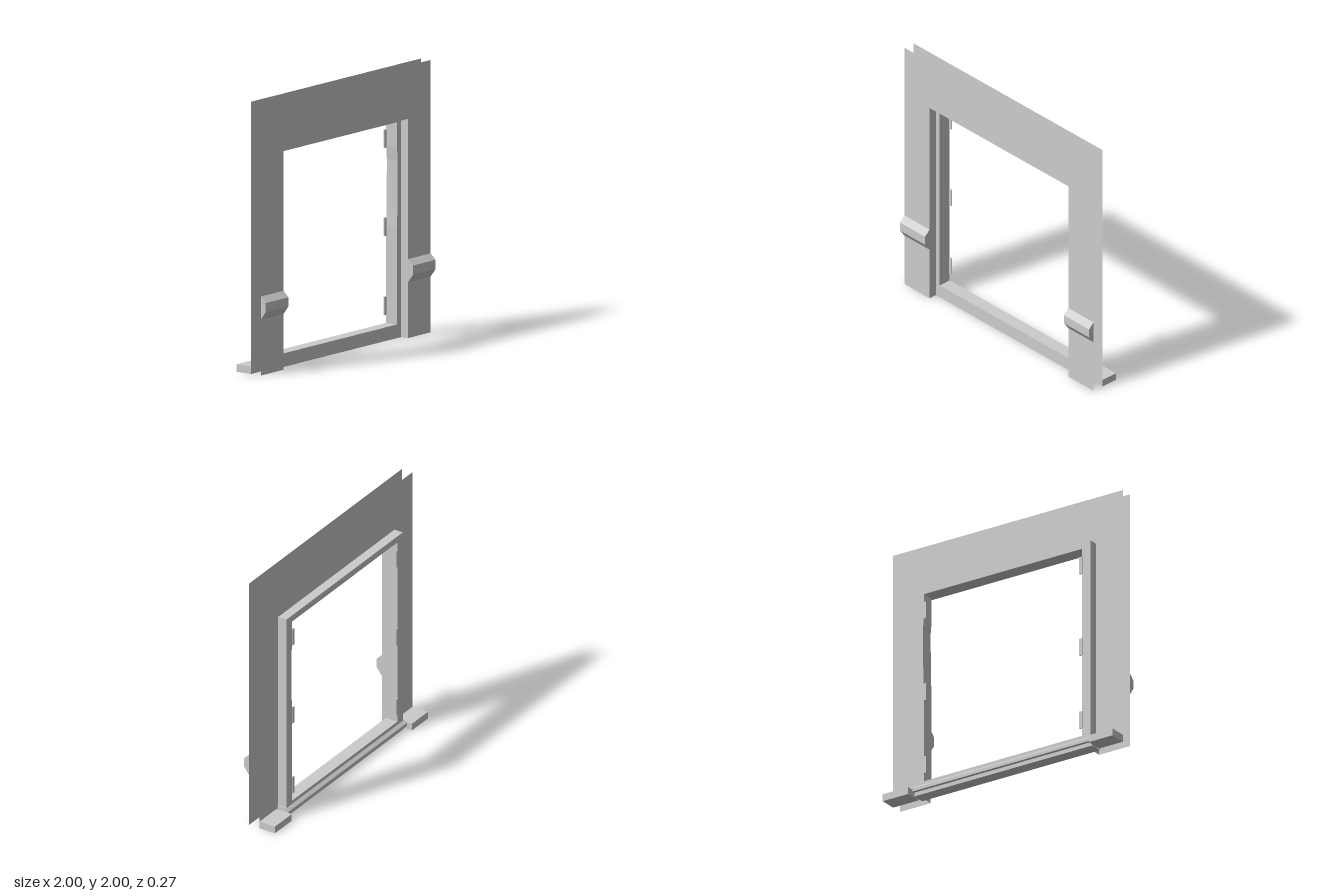
import * as THREE from 'three';

const plaster = new THREE.MeshStandardMaterial({ color: 0xcccccc, side: THREE.DoubleSide });
plaster.name = 'plain grey';

// Shape from a list of [x, y] corners
const poly = (pts) => new THREE.Shape(pts.map(([x, y]) => new THREE.Vector2(x, y)));

// Extrudes a [z, y] profile sideways from x0 to x1
function alongX(profile, x0, x1) {
  const g = new THREE.ExtrudeGeometry(poly(profile), { depth: x1 - x0, bevelEnabled: false });
  return g.rotateY(-Math.PI / 2).translate(x1, 0, 0);
}

export function createModel() {
  const group = new THREE.Group();
  const add = (name, geometry, x = 0, y = 0, z = 0) => {
    const mesh = new THREE.Mesh(geometry, plaster);
    mesh.name = name;
    mesh.position.set(x, y, z);
    group.add(mesh);
    return mesh;
  };

  const frontZ = 0.089, frameFront = 0.027, frameBack = -0.072;
  const openX = 0.733, openTop = 1.61;

  // Two wall skins, each an arch around the opening
  const skin = (half, top) => new THREE.ShapeGeometry(poly([
    [-1, 0], [-half, 0], [-half, top], [half, top], [half, 0], [1, 0], [1, 2], [-1, 2],
  ]));
  add('frontWall', skin(openX, openTop), 0, 0, frontZ);
  add('backWall', skin(0.75, 1.625).rotateY(Math.PI));

  // Reveal lining between the front wall and the frame
  const depth = frontZ - frameFront, midZ = (frontZ + frameFront) / 2;
  for (const s of [-1, 1]) {
    add('sideReveal', new THREE.PlaneGeometry(depth, openTop).rotateY(-s * Math.PI / 2),
      s * openX, openTop / 2, midZ);
  }
  add('topReveal', new THREE.PlaneGeometry(2 * openX, depth).rotateX(Math.PI / 2), 0, openTop, midZ);

  // Window frame, with a shallow worn hollow in one jamb
  const frame = poly([[-0.765, 0], [0.757, 0], [0.757, 1.635], [-0.765, 1.635]]);
  frame.holes.push(poly([
    [-0.694, 0.1], [-0.694, 1.585], [0.683, 1.585], [0.683, 1.4],
    [0.692, 1.3], [0.688, 0.95], [0.683, 0.8], [0.683, 0.1],
  ]));
  add('frame', new THREE.ExtrudeGeometry(frame, { depth: frameFront - frameBack, bevelEnabled: false }),
    0, 0, frameBack);

  // Sill with a sloping drip edge at the back
  add('sill', alongX([
    [0.025, 0], [0.025, 0.075], [-0.071, 0.075], [-0.096, 0.055],
    [-0.096, 0.03], [-0.071, 0.03], [-0.071, 0],
  ], -0.78, 0.767));

  // Sill blocks beside the frame
  for (const [x0, x1] of [[-1, -0.793], [0.78, 1]]) {
    add('sillBlock', new THREE.BoxGeometry(x1 - x0, 0.055, 0.133), (x0 + x1) / 2, 0.0275, -0.0665);
  }

  // Chamfered moulding on the front wall, either side of the opening
  const moulding = [[frontZ, 0.41], [0.133, 0.47], [0.133, 0.538], [frontZ, 0.58]];
  add('rightMoulding', alongX(moulding, -1, -openX));
  add('leftMoulding', alongX(moulding, openX, 1));

  // Hinge plates at the back edge of both jambs
  for (const y of [0.228, 0.807, 1.455]) {
    for (const x of [-0.684, 0.673]) {
      add('hingePlate', new THREE.BoxGeometry(0.024, 0.134, 0.009), x, y, -0.0725);
    }
  }
  return group;
}
